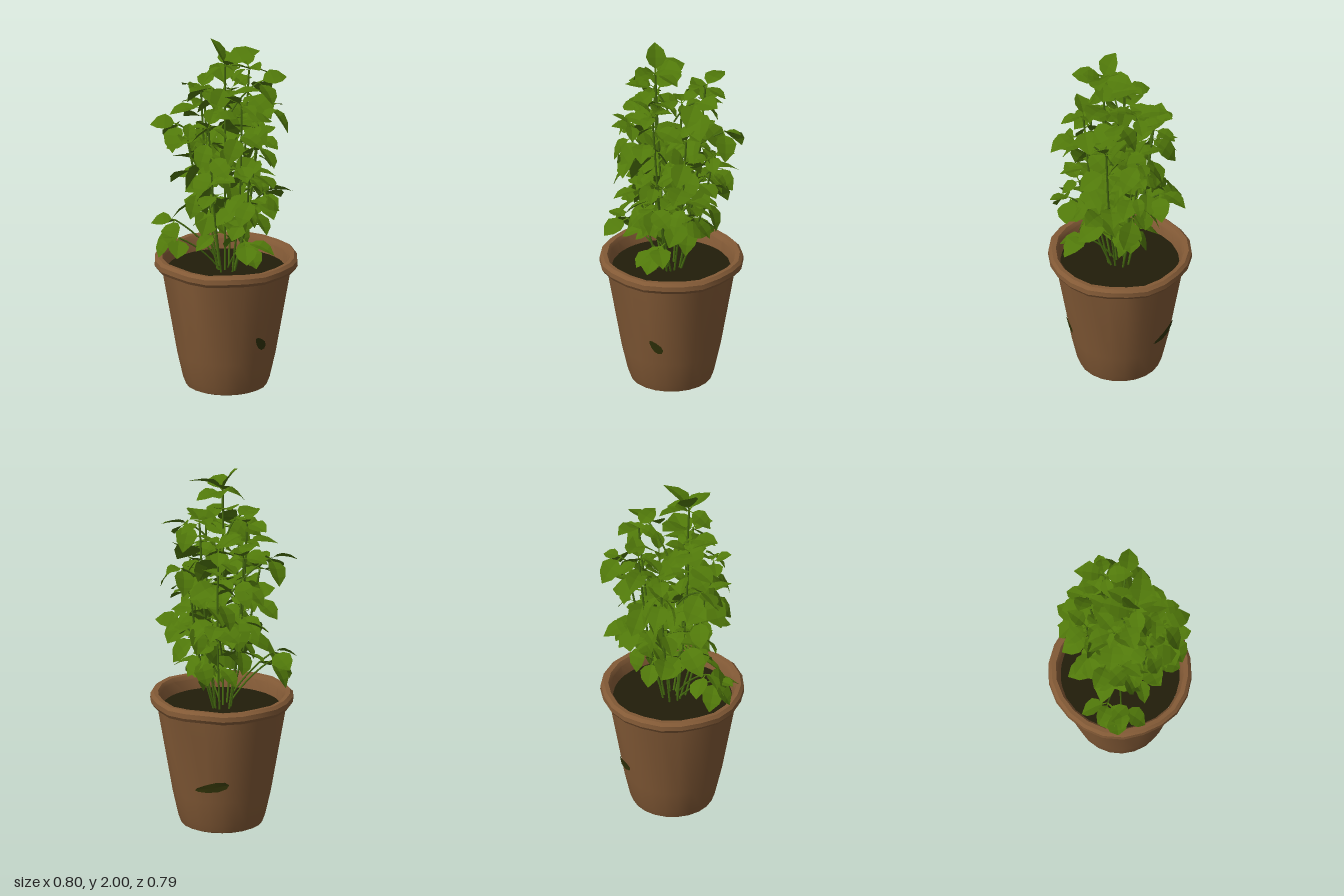
import * as THREE from 'three';
import { toCreasedNormals } from 'three/addons/utils/BufferGeometryUtils.js';

const mat = (name, color, extra = {}) => {
  const m = new THREE.MeshStandardMaterial({ color, ...extra });
  m.name = name;
  return m;
};

// Small seeded random generator
function seeded(seed) {
  return () => {
    seed = (seed * 1664525 + 1013904223) % 4294967296;
    return seed / 4294967296;
  };
}

// Unit leaf along +z: narrow stalk, then a folded oval blade that droops
function leafGeometry(droop) {
  const rows = [[0, 0.02], [0.18, 0.025], [0.3, 0.22], [0.52, 0.34], [0.78, 0.26], [1, 0.01]];
  const pos = [], index = [];
  rows.forEach(([t, w], i) => {
    const y = 0.2 * t - droop * t * t;
    pos.push(-w, y + w * 0.2, t, 0, y, t, w, y + w * 0.2, t);
    if (i === rows.length - 1) return;
    for (const k of [0, 1]) {
      const a = i * 3 + k;
      index.push(a, a + 3, a + 4, a, a + 4, a + 1);
    }
  });
  const g = new THREE.BufferGeometry();
  g.setAttribute('position', new THREE.Float32BufferAttribute(pos, 3));
  g.setIndex(index);
  g.computeVertexNormals();
  return g;
}

// Thin patch wrapped on the tapering pot wall
function wallPatch(phi, y, long, short, turn) {
  const g = new THREE.CircleGeometry(1, 10);
  const p = g.attributes.position;
  for (let i = 0; i < p.count; i++) {
    const a = p.getX(i) * long, b = p.getY(i) * short * (1 + 0.35 * p.getX(i));
    const u = a * Math.cos(turn) - b * Math.sin(turn);
    const h = y + a * Math.sin(turn) + b * Math.cos(turn);
    const r = 0.2335 + h * 0.1745 + 0.0045;
    p.setXYZ(i, r * Math.sin(phi + u / r), h, r * Math.cos(phi + u / r));
  }
  g.computeVertexNormals();
  return g;
}

export function createModel() {
  const root = new THREE.Group();
  root.name = 'pottedHerb';
  const clay = mat('clay brown', 0x835a36);
  const earth = mat('dark soil', 0x211d0a);
  const moss = mat('moss patch', 0x303208);
  const leafGreen = mat('leaf green', 0x50780a, { side: THREE.DoubleSide, flatShading: true });
  const stemGreen = mat('stem green', 0x486e10);
  const add = (parent, name, geo, material) => {
    const m = new THREE.Mesh(geo, material);
    m.name = name;
    parent.add(m);
    return m;
  };

  // Pot: one turned profile from base, over the rolled rim, down the inside
  const planter = new THREE.Group();
  planter.name = 'planter';
  planter.position.x = 0.008;
  root.add(planter);
  const profile = [[0, 0.006], [0.2, 0.006], [0.22, 0.015], [0.237, 0.06], [0.2685, 0.2], [0.3505, 0.67],
    [0.354, 0.69], [0.378, 0.686], [0.39, 0.705], [0.388, 0.732], [0.372, 0.748], [0.348, 0.746],
    [0.334, 0.725], [0.318, 0.63]];
  const pot = new THREE.LatheGeometry(profile.map(([x, y]) => new THREE.Vector2(x, y)), 22);
  const pp = pot.attributes.position;
  for (let i = 0; i < pp.count; i++) {
    // Hand-made unevenness of the rim
    const x = pp.getX(i), y = pp.getY(i), z = pp.getZ(i), a = Math.atan2(x, z);
    if (y < 0.68) continue;
    const k = 1 + 0.008 * Math.sin(5 * a + 12 * y);
    pp.setXYZ(i, x * k, y + 0.004 * Math.sin(7 * a + 1), z * k);
  }
  add(planter, 'pot', toCreasedNormals(pot, 0.5), clay);

  // Soil surface and the dark patches on the wall
  const soil = add(planter, 'soil', new THREE.CircleGeometry(0.325, 22), earth);
  soil.rotation.x = -Math.PI / 2;
  soil.position.y = 0.665;
  add(planter, 'frontPatch', wallPatch(0.68, 0.315, 0.05, 0.025, -0.85), moss);
  add(planter, 'backPatch', wallPatch(2.93, 0.29, 0.1, 0.027, 0.22), moss);

  // Foliage
  const plant = new THREE.Group();
  plant.name = 'plant';
  root.add(plant);
  const rnd = seeded(41);
  const leaves = [0.3, 0.45, 0.65].map(leafGeometry);
  function leaf(at, azimuth, pitch, length, roll = 0, width = 1, limit = 0.4) {
    // Shorten leaves that would reach past the crown
    const reach = (l) => Math.hypot(at.x + Math.sin(azimuth) * l, at.z + Math.cos(azimuth) * l);
    while (length > 0.1 && reach(length * Math.cos(pitch)) > limit) length -= 0.01;
    const m = add(plant, 'leaf', leaves[Math.floor(rnd() * 3)], leafGreen);
    m.position.copy(at);
    m.rotation.set(-pitch, azimuth, roll, 'YXZ');
    m.scale.set(length * width, length, length);
  }

  // Stems: foot x, z, tip x, y, z, lowest leaf height
  const stems = [
    [0.00, 0.02, 0.00, 1.86, 0.10, 1.1],
    [0.04, -0.03, 0.13, 1.76, -0.14, 1.0],
    [-0.04, 0.00, -0.13, 1.7, 0.02, 1.0],
    [0.04, 0.05, 0.09, 1.66, 0.18, 0.95],
    [-0.03, -0.04, -0.11, 1.56, -0.15, 1.0],
    [0.05, 0.01, 0.18, 1.5, 0.02, 0.92],
    [-0.02, 0.06, -0.09, 1.54, 0.2, 0.92],
    [0.02, -0.05, 0.03, 1.62, -0.2, 0.95],
    [0.05, 0.03, 0.13, 1.25, 0.19, 0.88],
    [-0.03, 0.02, -0.2, 1.42, 0.08, 1.15],
    [0.05, -0.03, 0.18, 1.36, -0.16, 1.0],
  ];
  for (const [fx, fz, tx, ty, tz, low] of stems) {
    const foot = new THREE.Vector3(fx, 0.65, fz), tip = new THREE.Vector3(tx, ty, tz);
    const mid = foot.clone().lerp(tip, 0.5);
    mid.x += fx * 0.4;
    mid.z += fz * 0.4;
    const curve = new THREE.CatmullRomCurve3([foot, mid, tip]);
    add(plant, 'stem', new THREE.TubeGeometry(curve, 8, 0.006, 5), stemGreen);
    // Opposite pairs of leaves, each pair turned a quarter from the last
    const count = Math.max(3, Math.round((ty - low) / 0.09));
    let turn = rnd() * 6.28;
    for (let i = 0; i < count; i++) {
      const t = (low - 0.65 + (ty - low) * (i / count)) / (ty - 0.65);
      const at = curve.getPoint(t);
      for (const side of [0, Math.PI]) {
        at.y += (rnd() - 0.5) * 0.05;
        leaf(at, turn + side + (rnd() - 0.5) * 0.9, rnd() * 1.3 - 0.8,
          0.15 + rnd() * 0.05, (rnd() - 0.5) * 1.2, 0.85 + rnd() * 0.3, 0.335);
      }
      turn += Math.PI / 2 + (rnd() - 0.5) * 0.5;
    }
    // Young leaves at the tip, some raised and some hanging
    for (let i = 0; i < 4; i++) {
      leaf(tip, turn + i * 1.57 + rnd() * 0.5, i % 2 ? 0.5 + rnd() * 0.4 : -0.3 + rnd() * 0.4,
        0.11 + rnd() * 0.05, (rnd() - 0.5) * 0.9, 1, 0.335);
    }
  }
  // Upright and spreading leaves that crown the tallest stem
  const top = new THREE.Vector3(0, 1.86, 0.1);
  leaf(top, -2.2, 1.1, 0.17, 0.3);
  leaf(top, 1.6, 0.75, 0.19, 0.5);
  leaf(top, 0.3, 0.3, 0.17, -0.3);
  leaf(top, 3.0, 0.2, 0.18, 0.4);

  // Low and outlying twigs: tip x, y, z, start height, leaf count
  const twigs = [
    [-0.27, 0.96, 0.04, 0.72, 3],
    [-0.25, 0.88, 0.11, 0.68, 3],
    [0.11, 0.86, 0.16, 0.68, 2],
    [0.15, 1.14, 0.23, 0.85, 3],
    [0.23, 1.52, -0.19, 1.3, 3],
    [0.04, 1.2, -0.24, 0.95, 3],
    [-0.25, 1.5, 0.02, 1.3, 3],
    [0.21, 1.12, 0.04, 0.85, 3],
    [0.18, 1.72, -0.04, 1.55, 3],
    [-0.07, 1.72, 0.06, 1.6, 3],
    [0.07, 1.5, 0.22, 1.3, 2],
  ];
  for (const [x, y, z, start, n] of twigs) {
    const tip = new THREE.Vector3(x, y, z);
    const curve = new THREE.QuadraticBezierCurve3(new THREE.Vector3(x * 0.15, start, z * 0.15),
      new THREE.Vector3(x * 0.5, (y + start) / 2 + 0.03, z * 0.5), tip);
    add(plant, 'twig', new THREE.TubeGeometry(curve, 6, 0.005, 5), stemGreen);
    const out = Math.atan2(x, z);
    for (let i = 0; i < n; i++) {
      leaf(tip, out + (i - (n - 1) / 2) * 1.1, i % 2 ? 0.2 : -0.35, 0.16, (rnd() - 0.5) * 1.0, 1.1);
    }
  }
  // Drooping leaves just above the soil
  leaf(new THREE.Vector3(-0.27, 0.91, 0.08), -1.0, -0.8, 0.17);
  leaf(new THREE.Vector3(0.11, 0.86, 0.16), 0.5, -0.6, 0.16, 0, 1.1);
  return root;
}
